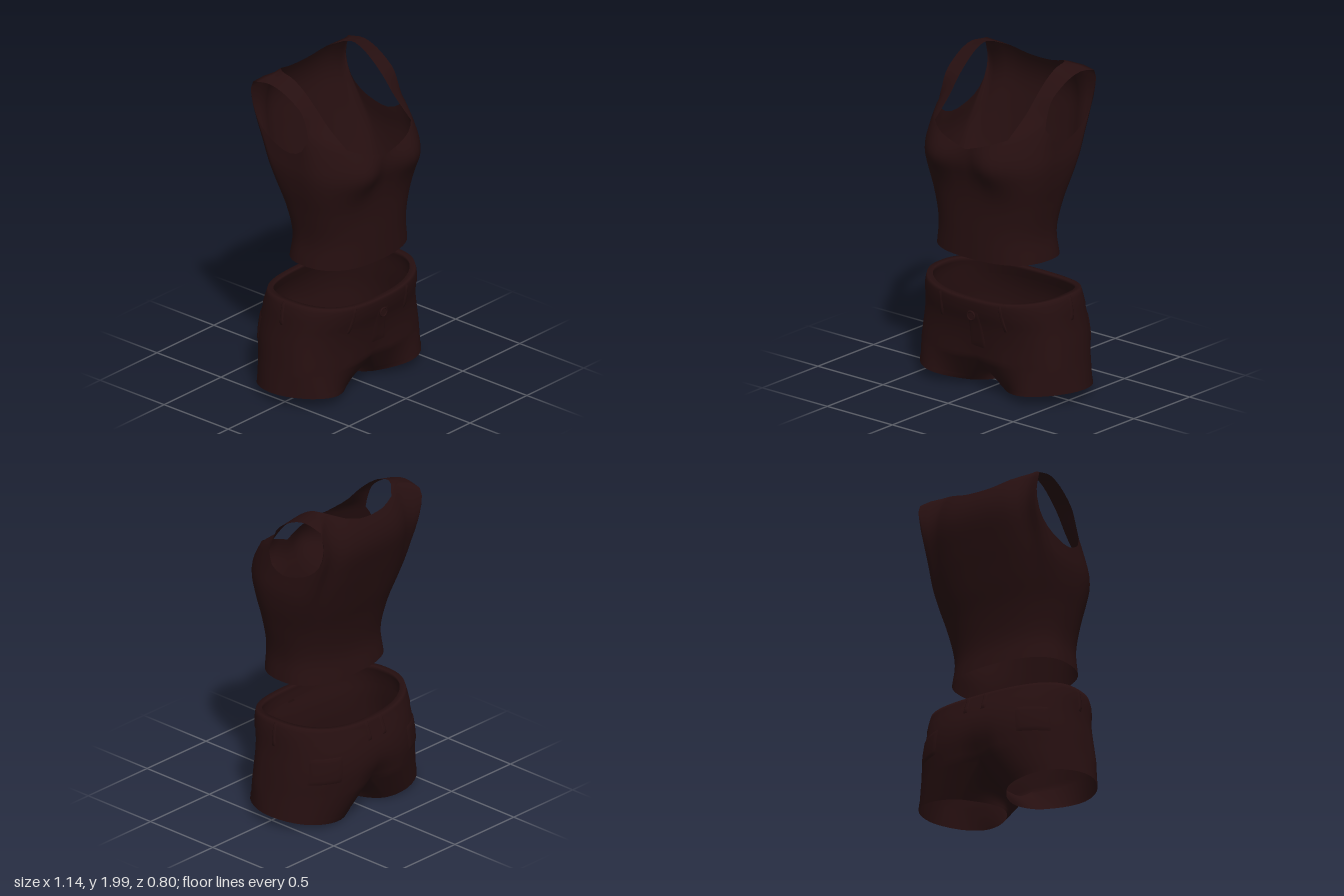
import * as THREE from 'three';
import { mergeGeometries, mergeVertices } from 'three/addons/utils/BufferGeometryUtils.js';

const V = (x, y, z) => new THREE.Vector3(x, y, z);
const pow = (c, e) => Math.sign(c) * Math.abs(c) ** e;
const { degToRad: rad, lerp, smoothstep } = THREE.MathUtils;

// Smooth lookup through rows of [key, ...values]
function table(rows) {
  const n = rows[0].length - 1;
  const it = new THREE.CubicInterpolant(rows.map(r => r[0]), rows.flatMap(r => r.slice(1)), n, new Array(n));
  return k => [...it.evaluate(k)];
}

// Surface patch from f(u, v); the mirrored copy lies on the right side
function grid(f, nu, nv, mirror = false) {
  const pos = [], idx = [];
  for (let j = 0; j <= nv; j++) for (let i = 0; i <= nu; i++) {
    const p = f(mirror ? 1 - i / nu : i / nu, j / nv);
    pos.push(mirror ? -p.x : p.x, p.y, p.z);
  }
  for (let j = 0; j < nv; j++) for (let i = 0; i < nu; i++) {
    const a = j * (nu + 1) + i, b = a + nu + 1;
    idx.push(a, a + 1, b + 1, a, b + 1, b);
  }
  const g = new THREE.BufferGeometry();
  g.setAttribute('position', new THREE.Float32BufferAttribute(pos, 3));
  g.setIndex(idx);
  return g;
}
const both = (f, nu, nv) => [grid(f, nu, nv), grid(f, nu, nv, true)];
function weld(parts) {
  const g = mergeVertices(mergeGeometries(parts), 1e-4);
  g.computeVertexNormals();
  return g;
}

// ---- Tank top: half width, front and back depth by height
const torso = table([
  [0.86, 0.385, 0.32, -0.21], [1.0, 0.37, 0.32, -0.19], [1.2, 0.4, 0.322, -0.222],
  [1.35, 0.43, 0.335, -0.268], [1.47, 0.44, 0.352, -0.302], [1.58, 0.428, 0.34, -0.333],
  [1.77, 0.41, 0.26, -0.37], [1.88, 0.415, 0.22, -0.345], [2.0, 0.42, 0.2, -0.27]]);
function torsoPoint(a, y) {
  const [w, f, b] = torso(y), front = Math.cos(a) > 0;
  // Rounded waist, squarer chest and shoulder blades
  const e = front ? lerp(0.8, 0.6, smoothstep(y, 1, 1.45)) : lerp(0.85, 0.5, smoothstep(y, 1, 1.8));
  const c = pow(Math.cos(a), e), x = w * pow(Math.sin(a), e);
  let z = 0.03 + c * (front ? f - 0.03 : 0.03 - b);
  if (front) z += 0.06 * Math.exp(-(((x - 0.225) / 0.12) ** 2) - ((y - 1.47) / 0.13) ** 2);
  return V(x, y, z);
}
// Upper edge of one half: neckline, strap root, armhole, shoulder, back neck
const edge = new THREE.CatmullRomCurve3([
  [0, 1.54, 0.345], [0.1, 1.575, 0.355], [0.2, 1.61, 0.34], [0.28, 1.645, 0.29],
  [0.35, 1.67, 0.21], [0.41, 1.69, 0.105], [0.428, 1.62, 0.065], [0.426, 1.58, -0.02],
  [0.42, 1.595, -0.12], [0.412, 1.64, -0.22], [0.408, 1.72, -0.3], [0.413, 1.85, -0.34],
  [0.42, 1.95, -0.32], [0.31, 1.995, -0.25], [0.2, 1.965, -0.3], [0.1, 1.935, -0.325],
  [0, 1.928, -0.33]].map(p => V(...p)));
const columnAngle = table([0, 13, 27, 42, 55, 68, 80, 89, 97, 104, 110, 118, 128, 138, 150, 165, 180]
  .map((d, i) => [i / 16, rad(d)]));
function topSurface(u, v) {
  const end = edge.getPoint(u), [a] = columnAngle(u);
  const p = torsoPoint(a, lerp(0.86, end.y, v));
  const shift = end.clone().sub(torsoPoint(a, end.y));
  return p.addScaledVector(shift, v ** 3);
}
// Strap cross lines, inner to outer
const strapLines = [
  [[0.29, 1.76, 0.145], [0.405, 1.76, 0.085]], [[0.295, 1.85, 0.06], [0.405, 1.85, 0.045]],
  [[0.295, 1.93, -0.03], [0.41, 1.91, -0.03]], [[0.295, 1.985, -0.12], [0.415, 1.955, -0.12]],
  [[0.29, 2.0, -0.2], [0.42, 1.972, -0.21]]];
function strap(u, v) {
  const mids = strapLines.map(([i, o]) => V(...i).lerp(V(...o), u));
  return new THREE.CatmullRomCurve3([
    edge.getPoint((3 + 2 * u) / 16), ...mids, edge.getPoint((14 - 2 * u) / 16)]).getPoint(v);
}

// ---- Shorts: half width, front and back depth by height
const hips = table([
  [0.2, 0.545, 0.262, -0.385], [0.35, 0.525, 0.266, -0.403], [0.45, 0.51, 0.283, -0.393],
  [0.52, 0.503, 0.305, -0.372], [0.6, 0.495, 0.318, -0.342], [0.66, 0.478, 0.31, -0.325]]);
const SPLIT = 0.22;
const waistY = a => 0.613 + 0.04 * Math.sin(a) ** 2;
function hipPoint(a, y, off = 0) {
  const [w, f, b] = hips(y), front = Math.cos(a) > 0;
  const e = front ? lerp(0.68, 0.8, smoothstep(y, SPLIT, 0.6)) : 0.83;
  const c = pow(Math.cos(a), e), x = w * pow(Math.sin(a), e);
  // Dip along the centre, front and back
  const dip = Math.exp(-((x / 0.08) ** 2) - ((y - 0.18) / 0.13) ** 2);
  const z = front ? c * f - 0.025 * dip : -c * b + 0.07 * dip;
  return V(x, y, z).addScaledVector(V(Math.sin(a), 0, Math.cos(a)), off);
}
const hipSurface = (u, v) => hipPoint(u * Math.PI, lerp(SPLIT, waistY(u * Math.PI), v));

// Leg opening as x, z: round the outside first, then back along the inner thigh
const hem = new THREE.CatmullRomCurve3([
  [0.14, 0.15], [0.25, 0.226], [0.35, 0.252], [0.45, 0.215], [0.53, 0.115], [0.565, 0],
  [0.545, -0.13], [0.485, -0.23], [0.405, -0.285], [0.3, -0.308], [0.18, -0.28],
  [0.1, -0.19], [0.055, -0.09], [0.045, 0], [0.08, 0.085]].map(([x, z]) => V(x, 0, z)), true);
function hemPoint(u) {
  const p = hem.getPoint(u < 0.5 ? u * 4 / 3 : (1 + 2 * u) / 3);
  p.y = 0.004 + 0.055 * Math.max(0, (p.x - 0.12) / 0.445) + 0.06 * (p.z + 0.31);
  return p;
}
const crotch = new THREE.CatmullRomCurve3([
  hipPoint(Math.PI, SPLIT), V(0, 0.15, -0.23), V(0, 0.123, -0.12), V(0, 0.118, -0.02),
  V(0, 0.135, 0.1), hipPoint(0, SPLIT)]);
function legSurface(u, v) {
  const top = u <= 0.5 ? hipPoint(u * 2 * Math.PI, SPLIT) : crotch.getPoint(u * 2 - 1);
  const p = hemPoint(u).lerp(top, v);
  // Inner thighs bow slightly before meeting at the centre
  if (u > 0.5) p.x += 0.015 * Math.sin(Math.PI * v) * Math.sin(Math.PI * (u * 2 - 1));
  return p;
}
function cuff(u, v) {
  const p = legSurface(u, v * 0.2), c = V(0.3, p.y, -0.025);
  return p.addScaledVector(p.clone().sub(c).normalize(), 0.003);
}

// Waistband: up the outside, over the rim and down the inside
function waistband(u, v) {
  const a = u * Math.PI, rise = Math.min(1, (1 - Math.abs(2 * v - 1)) * 9 / 8);
  return hipPoint(a, lerp(0.535, waistY(a), rise), v < 0.5 ? 0.004 : -0.03);
}

// Raised cloth piece on the hips, with borders turned down to the surface
function raised(a0, a1, y0, y1, off) {
  const rim = t => t === 0 || t === 1;
  return (u, v) => {
    const a = lerp(rad(a0), rad(a1), u);
    return hipPoint(a, lerp(y0, y1 ?? waistY(a), v), rim(u) || rim(v) ? 0 : off);
  };
}

export function createModel() {
  const model = new THREE.Group();
  const cloth = new THREE.MeshStandardMaterial({ color: 0x260f10, side: THREE.DoubleSide });
  cloth.name = 'dark maroon cloth';
  const add = (name, geometry) => {
    const m = new THREE.Mesh(geometry, cloth);
    m.name = name;
    model.add(m);
    return m;
  };

  add('tankTop', weld([...both(topSurface, 32, 28), ...both(strap, 4, 16)]));
  add('shorts', weld([...both(hipSurface, 24, 16), ...both(legSurface, 48, 8)]));
  add('legCuffs', weld(both(cuff, 48, 2)));
  add('waistband', weld(both(waistband, 32, 9)));

  // Belt loops at front, sides and back; patch pockets behind
  for (const a of [22, 92, 175.5]) {
    add('beltLoops', weld(both(raised(a - 1.4, a + 1.4, a < 90 ? 0.44 : 0.5, undefined, 0.009), 6, 8)));
  }
  add('backPockets', weld(both(raised(124, 152, 0.3, 0.46, 0.005), 14, 12)));

  // Fly flap and button
  add('fly', weld([grid(raised(-1, 4, 0.3, 0.53, 0.004), 8, 10)]));
  const button = add('button', new THREE.CylinderGeometry(0.026, 0.026, 0.014, 20));
  button.rotation.x = Math.PI / 2;
  button.position.set(0.015, 0.505, 0.307);
  const rim = add('buttonRim', new THREE.TorusGeometry(0.026, 0.006, 8, 24));
  rim.position.set(0.015, 0.505, 0.312);
  return model;
}
